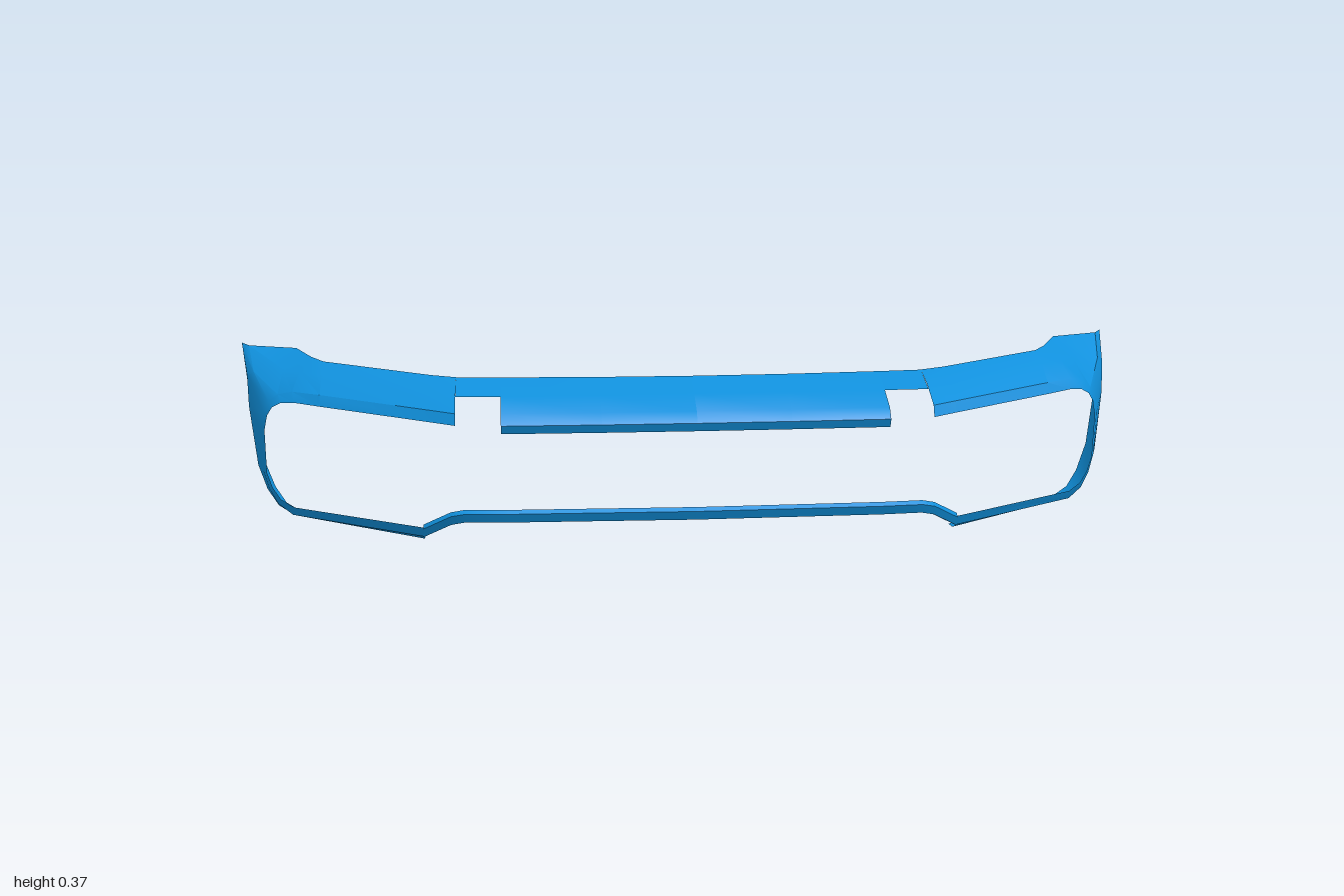
import * as THREE from 'three';
import { toCreasedNormals } from 'three/addons/utils/BufferGeometryUtils.js';

const { clamp } = THREE.MathUtils;
const paint = new THREE.MeshStandardMaterial({ color: 0x1090dc, side: THREE.DoubleSide });

// Open skin through a row of cross-sections, each running from the opening to the outer edge
function loft(sections) {
  const n = sections[0].length, index = [];
  for (let i = 0; i < sections.length - 1; i++) {
    for (let j = 0; j < n - 1; j++) {
      const a = i * n + j, b = a + n;
      index.push(a, b, a + 1, b, b + 1, a + 1);
    }
  }
  const geo = new THREE.BufferGeometry().setFromPoints(sections.flat());
  geo.setIndex(index);
  return toCreasedNormals(geo, 0.6);
}

// Opening edge to outer edge: a rounded turn away from the opening, then a slightly bulged face
function wingSection(inner, outer) {
  const away = new THREE.Vector3(
    inner.x - Math.min(inner.x, 0.84), inner.y - clamp(inner.y, 0.12, 0.24), 0).normalize();
  const bend = new THREE.Vector3(0.01 * away.x, 0.023 * away.y, -0.012 - 0.009 * away.x).add(inner);
  const mid = bend.clone().lerp(outer, 0.5);
  mid.x += 0.012 * away.x;
  mid.y += 0.006 * away.y;
  return [inner, bend, mid, outer];
}

// Upper shelf section at x; its back edge bows towards the ends
function shelfSection(x, profile) {
  const bow = 0.06 * x * x;
  return profile.map(([y, z]) => new THREE.Vector3(x, y, z - bow * (0.357 - y < 0.01 ? 1.6 : 0.6)));
}

const points = rows => rows.map(p => new THREE.Vector3(...p));

export function createModel() {
  const group = new THREE.Group();
  group.name = 'bumper';

  function addPair(name, sections) {
    const mirrored = sections.map(s => s.map(p => new THREE.Vector3(-p.x, p.y, p.z))).reverse();
    [['left', sections], ['right', mirrored]].forEach(([side, rows]) => {
      const mesh = new THREE.Mesh(loft(rows), paint);
      mesh.name = side + name;
      group.add(mesh);
    });
  }

  // Centre of the upper shelf with its turned-down front edge, and the bridge behind the notch
  const back = [[0.333, 0.19], [0.357, 0.116]];
  const front = [[0.27, 0.267], [0.289, 0.276], [0.31, 0.256]];
  addPair('CentreShelf', [0, 0.2, 0.41].map(x => shelfSection(x, [...front, ...back])));
  addPair('NotchBridge', [0.41, 0.46, 0.505].map(x => shelfSection(x, back)));

  // Outer shelf, rounding the top corner into the wing and on to the lower panel
  const opening = points([
    [0.505, 0.288, 0.254], [0.56, 0.288, 0.215], [0.8, 0.29, 0.056], [0.86, 0.29, 0.012],
    [0.89, 0.286, -0.006], [0.91, 0.274, -0.017], [0.922, 0.255, -0.024], [0.93, 0.22, -0.032],
    [0.93, 0.12, -0.043], [0.918, 0.088, -0.034], [0.9, 0.065, -0.02], [0.87, 0.051, 0],
    [0.58, 0.045, 0.166],
  ]);
  const outerEdge = points([
    [0.505, 0.357, 0.09], [0.56, 0.358, 0.067], [0.8, 0.362, -0.08], [0.83, 0.365, -0.12],
    [0.87, 0.37, -0.2], [0.98, 0.37, -0.24], [1, 0.37, -0.275], [0.985, 0.28, -0.23],
    [0.95, 0.12, -0.17], [0.925, 0.06, -0.152], [0.9, 0.025, -0.139], [0.87, 0.01, -0.125],
    [0.58, 0, 0.07],
  ]);
  addPair('Wing', opening.map((p, i) => wingSection(p, outerEdge[i])));

  // Slim lower lip: one profile carried along a path that steps up to the raised middle
  const lipPath = points([
    [0.58, 0.042, 0.166], [0.52, 0.081, 0.214], [0.49, 0.09, 0.23], [0.4, 0.091, 0.241], [0, 0.091, 0.25],
  ]);
  const lipProfile = points([[0, 0.007, -0.01], [0, 0, 0], [0, -0.021, -0.011], [0, -0.026, -0.035]]);
  addPair('LowerLip', lipPath.map(p => lipProfile.map(q => p.clone().add(q))));

  return group;
}
